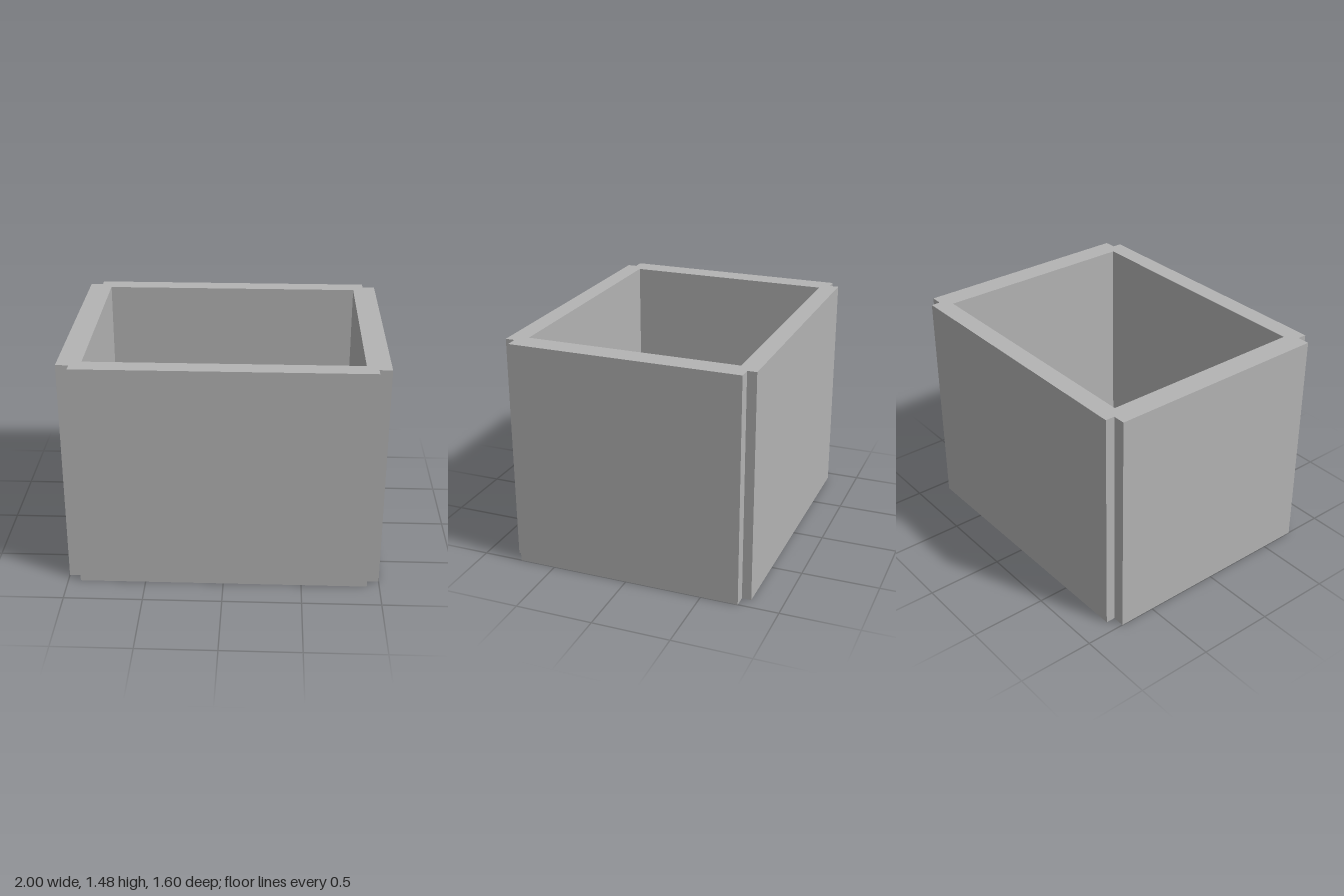
import * as THREE from 'three';

const HEIGHT = 1.48, FLOOR = 0.12;
const OUT_X = 1, OUT_Z = 0.8;         // outer faces
const NOTCH_X = 0.92, NOTCH_Z = 0.74; // inner corner of the notches
const IN_X = 0.85, IN_Z = 0.68;       // cavity

// Rectangle with a square notch cut from each corner
function outline() {
  const quarter = [[OUT_X, NOTCH_Z], [NOTCH_X, NOTCH_Z], [NOTCH_X, OUT_Z]];
  const points = [];
  for (const [sx, sy] of [[1, 1], [-1, 1], [-1, -1], [1, -1]]) {
    const corner = quarter.map(([x, y]) => new THREE.Vector2(x * sx, y * sy));
    points.push(...(sx * sy > 0 ? corner : corner.reverse()));
  }
  return new THREE.Shape(points);
}

// Upright prism from a plan shape
function slab(name, shape, y, depth, material) {
  const geometry = new THREE.ExtrudeGeometry(shape, { depth, bevelEnabled: false });
  geometry.rotateX(-Math.PI / 2);
  const mesh = new THREE.Mesh(geometry, material);
  mesh.name = name;
  mesh.position.y = y;
  return mesh;
}

export function createModel() {
  const group = new THREE.Group();
  group.name = 'openBox';
  const grey = new THREE.MeshStandardMaterial({ color: 0xb3b3b3 });
  grey.name = 'grey';

  // Walls: notched outline around the open cavity, running full height
  const walls = outline();
  walls.holes.push(new THREE.Path([[-1, -1], [-1, 1], [1, 1], [1, -1]]
    .map(([x, z]) => new THREE.Vector2(x * IN_X, z * IN_Z))));
  group.add(slab('walls', walls, 0, HEIGHT, grey));

  // Floor closing the cavity
  const floor = new THREE.Mesh(new THREE.BoxGeometry(IN_X * 2, FLOOR, IN_Z * 2), grey);
  floor.name = 'floor';
  floor.position.y = FLOOR / 2;
  group.add(floor);

  return group;
}
